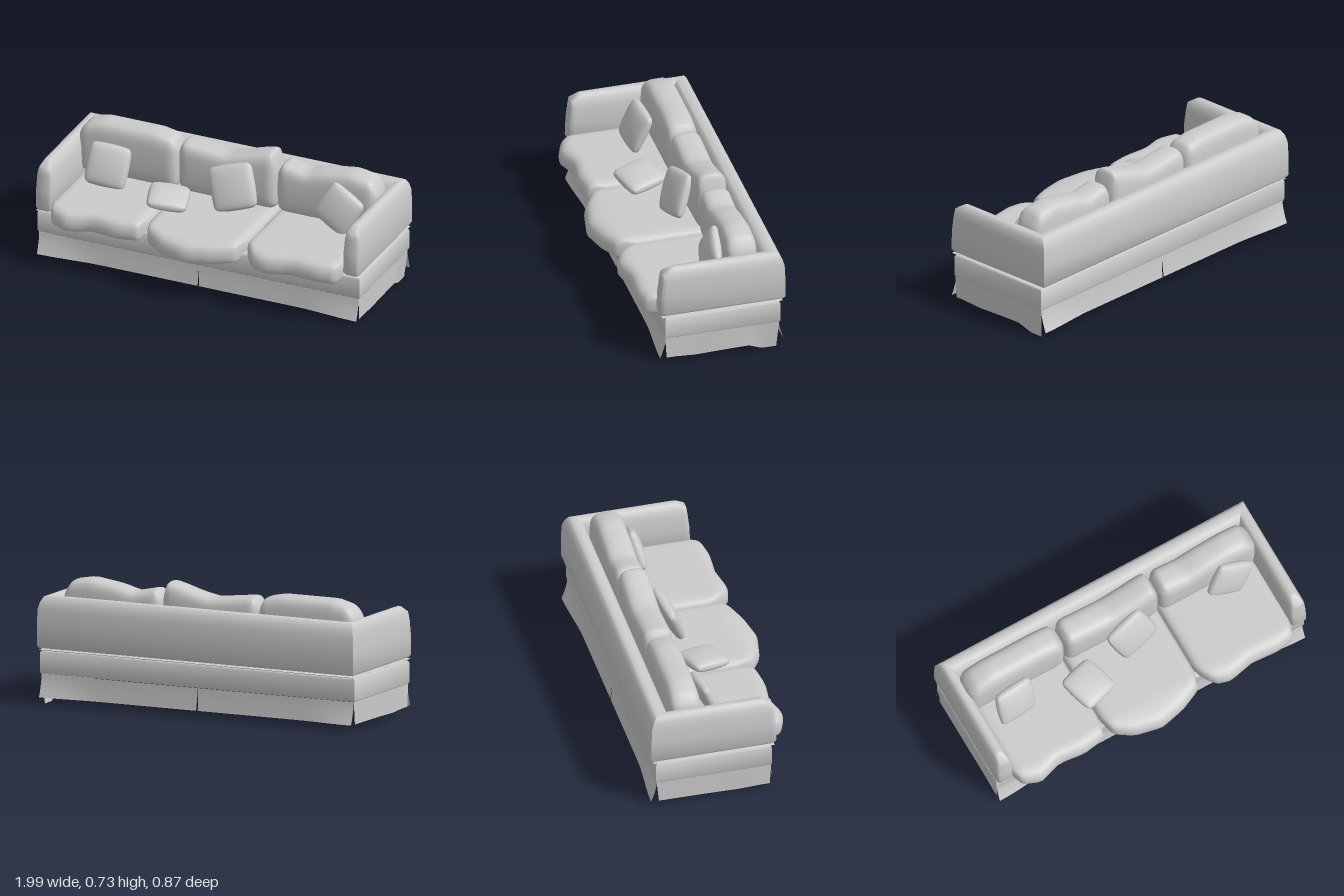
import * as THREE from 'three';
import { mergeVertices, toCreasedNormals } from 'three/addons/utils/BufferGeometryUtils.js';

const material = new THREE.MeshStandardMaterial({ color: 0xcccccc, side: THREE.DoubleSide });
const { clamp, smoothstep } = THREE.MathUtils;
const V = (x, y, z) => new THREE.Vector3(x, y, z);

function part(name, geometry, parent) {
  const mesh = new THREE.Mesh(geometry, material);
  mesh.name = name;
  parent.add(mesh);
  return mesh;
}

// Piecewise linear lookup through [x, value] points
function along(points, x) {
  if (x <= points[0][0]) return points[0][1];
  for (let i = 1; i < points.length; i++) {
    const [x0, a] = points[i - 1], [x1, b] = points[i];
    if (x <= x1) return a + (b - a) * (x - x0) / (x1 - x0);
  }
  return points[points.length - 1][1];
}

// Surface through rows of points
function loft(rows, closed, crease = 0.6) {
  const n = rows[0].length, index = [];
  for (let i = 0; i < rows.length - 1; i++) {
    for (let j = 0; j < (closed ? n : n - 1); j++) {
      const k = (j + 1) % n, a = i * n + j, b = i * n + k;
      index.push(a, b, b + n, a, b + n, a + n);
    }
  }
  const g = new THREE.BufferGeometry().setFromPoints(rows.flat());
  g.setIndex(index);
  return toCreasedNormals(g.toNonIndexed(), crease);
}

// Subdivided box with rounded edges, each vertex then moved by warp(p)
function softBox(w, h, d, r, segs, warp) {
  let g = new THREE.BoxGeometry(2, 2, 2, ...segs);
  g.deleteAttribute('uv');
  g.deleteAttribute('normal');
  g = mergeVertices(g);
  const pos = g.attributes.position, half = V(w / 2, h / 2, d / 2), p = V();
  const core = half.clone().subScalar(r);
  for (let i = 0; i < pos.count; i++) {
    p.fromBufferAttribute(pos, i);
    p.set(...p.toArray().map((u) => Math.sin(u * Math.PI / 2))).multiply(half);
    const c = p.clone().clamp(core.clone().negate(), core);
    p.sub(c).setLength(r).add(c);
    warp(p);
    pos.setXYZ(i, p.x, p.y, p.z);
  }
  g.computeVertexNormals();
  return g;
}

// Rectangular band: profile of [inset, y] carried round the sofa
function band(x, zBack, zFront, profile) {
  return loft(profile.map(([o, y]) => [
    V(-x + o, y, zFront - o), V(x - o, y, zFront - o),
    V(x - o, y, zBack + o), V(-x + o, y, zBack + o),
  ]), true);
}

// Arms and back as one mitred U, with tapered front ends
function armsAndBack() {
  const profile = [[0.09, 0.32], [0.1, 0.335], [0.1, 0.45], [0.095, 0.54], [0.085, 0.58], [0.068, 0.61],
    [0.045, 0.616], [0.027, 0.61], [0.012, 0.58], [0.003, 0.54], [0, 0.45], [0, 0.335], [0.008, 0.32]];
  const frontZ = (y) => along([[0.32, 0.285], [0.335, 0.291], [0.41, 0.291], [0.58, 0.272], [0.616, 0.215]], y);
  const end = (s, width, back) => profile.map(([o, y]) =>
    V(s * (0.945 - (o - 0.05) * width), y, frontZ(y) - back));
  const corner = (s) => profile.map(([o, y]) => V(s * (0.995 - o), y, -0.435 + 1.32 * o));
  const arm = (s) => [end(s, 0, 0), end(s, 0.7, 0), end(s, 0.92, 0.008), end(s, 1, 0.03), corner(s)];
  return loft([...arm(1), ...arm(-1).reverse()], true, 0.9);
}

// Hanging fabric panel from at(s, t): s along the panel, t from hem to top
function panel(at) {
  const rows = [];
  for (let i = 0; i <= 5; i++) {
    rows.push(Array.from({ length: 25 }, (_, j) => at(j / 24, i / 5)));
  }
  return loft(rows, false, 1);
}

function addSkirt(group) {
  const top = 0.168;
  for (const s of [-1, 1]) {
    const side = s > 0 ? 'Left' : 'Right';
    // Front and back halves, split in the middle and kicking out at the corners
    for (const f of [-1, 1]) {
      const z = f > 0 ? 0.255 : -0.4;
      part((f > 0 ? 'front' : 'back') + 'Skirt' + side, panel((u, t) => {
        const e = 1 - t, flare = 0.01 + 0.024 * smoothstep(u, 0.6, 1);
        return V(s * (0.005 * e + u * (0.982 - 0.005 * e)), 0.04 + (top - 0.04) * t, z + f * flare * e ** 1.5);
      }), group);
    }
    // Ends, the left one with its hem dropped to the floor at the back
    const hem = s > 0
      ? [[-0.4, 0], [-0.305, 0], [-0.225, 0.04], [-0.1, 0.037], [0.08, 0.03], [0.2, 0.04]]
      : [[-0.4, 0.04], [-0.1, 0.037], [0.08, 0.032], [0.2, 0.04]];
    part('endSkirt' + side, panel((u, t) => {
      const e = 1 - t, z0 = -0.402 + 0.013 * e, z1 = 0.26 - 0.008 * e;
      const z = z0 + (z1 - z0) * u, y0 = along(hem, z);
      return V(s * (0.983 - (0.04 - y0) * e * 0.4), y0 + (top - y0) * t, z);
    }), group);
  }
}

// Seat cushion, resting on the frame and sagging over its front edge
function seatCushion(x0, x1, front) {
  const cx = (x0 + x1) / 2;
  return softBox(x1 - x0, 0.125, 0.67, 0.055, [24, 8, 28], (p) => {
    p.x += cx;
    p.z += 0.025;
    p.z += (along(front, p.x) - 0.36) * smoothstep(p.z, 0.05, 0.33);
    if (p.y < 0) p.y *= 0.45 + 0.55 * smoothstep(p.z, 0.2, 0.28);
    p.y += 0.331 - 0.028 * clamp((p.z - 0.29) / 0.14, 0, 1) ** 1.3;
  });
}

// Back cushion with an uneven top line
function backCushion(x0, x1, top) {
  const cx = (x0 + x1) / 2, base = 0.375, h = 0.32;
  return softBox(x1 - x0, h, 0.165, 0.06, [28, 14, 10], (p) => {
    const v = (p.y + h / 2) / h;
    p.x += cx;
    p.y = base + (along(top, p.x) - base) * v;
    p.z += Math.sign(p.z) * 0.01 * Math.sin(Math.PI * v) - 0.213;
  });
}

// Square pillow, thick in the middle and thin along the seam
function pillow(size) {
  return softBox(size, size, 0.08, 0.03, [14, 14, 4], (p) => {
    const u = 2 * p.x / size, v = 2 * p.y / size;
    p.z *= 0.35 + 0.7 * Math.sqrt(Math.max(0, (1 - u * u) * (1 - v * v)));
    p.x *= 1 - 0.06 * v * v;
    p.y *= 1 - 0.06 * u * u;
  });
}

export function createModel() {
  const sofa = new THREE.Group();
  sofa.name = 'sofa';

  // Open base frame, thin piping above it, arms and back
  part('baseFrame', band(0.99, -0.407, 0.262,
    [[0.01, 0.17], [0.004, 0.17], [0, 0.18], [0, 0.29], [0.006, 0.3], [0.04, 0.302]]), sofa);
  part('piping', band(0.992, -0.42, 0.278,
    [[0.1, 0.302], [0.012, 0.304], [0, 0.309], [0.012, 0.314], [0.1, 0.32]]), sofa);
  part('armsAndBack', armsAndBack(), sofa);
  addSkirt(sofa);

  // Cushions: [name, x range, front edge, x range of back, top line]
  const cushions = [
    ['Right', [-0.905, -0.315], [[-0.905, 0.29], [-0.87, 0.35], [-0.77, 0.388], [-0.63, 0.345], [-0.48, 0.362], [-0.34, 0.343], [-0.315, 0.27]],
      [-0.93, -0.315], [[-0.93, 0.64], [-0.87, 0.685], [-0.78, 0.71], [-0.45, 0.71], [-0.35, 0.69], [-0.315, 0.66]]],
    ['Middle', [-0.315, 0.29], [[-0.315, 0.27], [-0.28, 0.345], [-0.18, 0.405], [-0.02, 0.437], [0.13, 0.405], [0.26, 0.35], [0.29, 0.27]],
      [-0.315, 0.29], [[-0.315, 0.67], [-0.28, 0.69], [-0.02, 0.66], [0.1, 0.69], [0.18, 0.715], [0.26, 0.735], [0.29, 0.67]]],
    ['Left', [0.29, 0.905], [[0.29, 0.27], [0.37, 0.368], [0.45, 0.388], [0.6, 0.357], [0.77, 0.368], [0.87, 0.35], [0.905, 0.28]],
      [0.29, 0.915], [[0.29, 0.65], [0.33, 0.685], [0.47, 0.655], [0.58, 0.685], [0.75, 0.71], [0.86, 0.69], [0.915, 0.63]]],
  ];
  for (const [name, seat, front, back, top] of cushions) {
    part('seatCushion' + name, seatCushion(...seat, front), sofa);
    part('backCushion' + name, backCushion(...back, top), sofa);
  }

  // Scatter pillows: size, position, rotation
  const pillows = [
    [0.247, [-0.695, 0.505, -0.04], [-0.4, 0.15, -0.04]],
    [0.235, [-0.28, 0.44, 0.055], [-1.5, 0.15, 0.3]],
    [0.265, [0.065, 0.525, -0.058], [-0.38, 0.1, 0.32]],
    [0.242, [0.708, 0.518, -0.078], [-0.25, 0, -0.52]],
  ];
  pillows.forEach(([size, position, rotation], i) => {
    const mesh = part('scatterPillow' + (i + 1), pillow(size), sofa);
    mesh.position.set(...position);
    mesh.rotation.set(...rotation);
  });
  return sofa;
}
